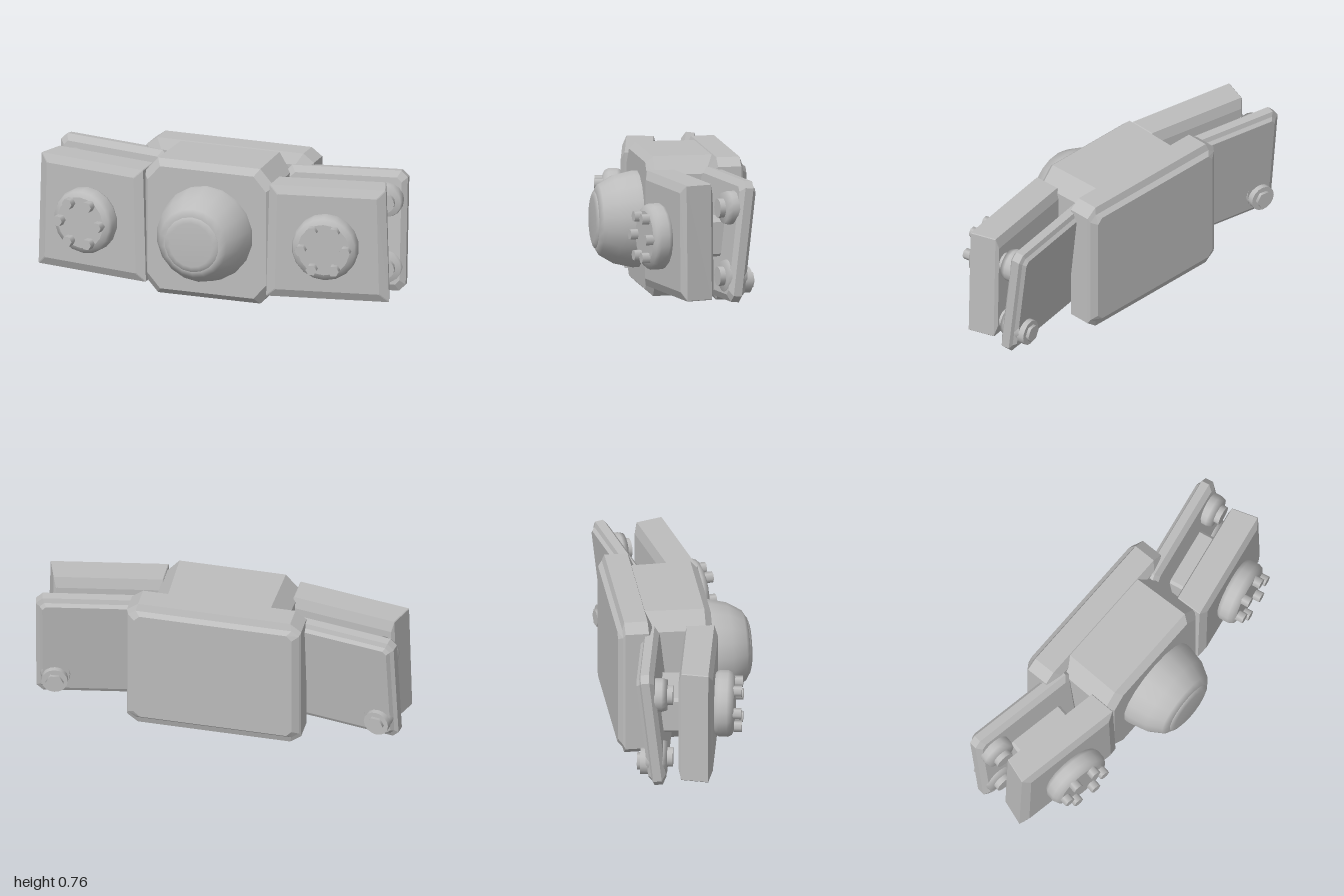
import * as THREE from 'three';

const steel = new THREE.MeshStandardMaterial({ color: 0xbcbcbc });
steel.name = 'grey steel';
const flatSteel = steel;

// Chamfered block: octagonal loops [z, halfWidth, halfHeight, chamferX, chamferY] from back to front
function block(name, sections, taper = 0) {
  const loops = sections.map(([z, w, h, cx, cy]) =>
    [[w, -h + cy], [w, h - cy], [w - cx, h], [cx - w, h], [-w, h - cy], [-w, cy - h], [cx - w, -h], [w - cx, -h]]
      .map(([x, y]) => [x * (1 - taper * y), y, z]));
  const pos = [];
  const tri = (a, b, c) => pos.push(...a, ...b, ...c);
  for (let i = 0; i < loops.length - 1; i++) {
    for (let j = 0; j < 8; j++) {
      const k = (j + 1) % 8, a = loops[i], b = loops[i + 1];
      tri(a[j], a[k], b[k]);
      tri(a[j], b[k], b[j]);
    }
  }
  const back = loops[0], front = loops[loops.length - 1];
  for (let j = 1; j < 7; j++) {
    tri(front[0], front[j], front[j + 1]);
    tri(back[0], back[j + 1], back[j]);
  }
  const g = new THREE.BufferGeometry();
  g.setAttribute('position', new THREE.Float32BufferAttribute(pos, 3));
  g.computeVertexNormals();
  return part(name, g);
}

function part(name, geometry) {
  const m = new THREE.Mesh(geometry, flatSteel);
  m.name = name;
  return m;
}

// Turned shape along +z from [radius, z] points
function turned(name, points, sides) {
  const g = new THREE.LatheGeometry(points.map(([r, z]) => new THREE.Vector2(r, z)), sides);
  return part(name, g.rotateX(Math.PI / 2));
}

// Straight cylinder or hex prism along z
function rod(name, r, z0, z1, sides) {
  const g = new THREE.CylinderGeometry(r, r, z1 - z0, sides);
  g.rotateX(Math.PI / 2).rotateZ(sides === 6 ? Math.PI / 2 : 0).translate(0, 0, (z0 + z1) / 2);
  return part(name, g);
}

const YAW = 0.18, MID = 0.385;

function wing(s) {
  const wing = new THREE.Group();
  wing.name = s > 0 ? 'leftWing' : 'rightWing';

  // Front pad with bevelled face, disc and six bolts
  const pad = new THREE.Group();
  pad.name = 'frontPad';
  pad.position.set(s * 0.655, MID, 0.02);
  pad.rotation.y = s * YAW;
  pad.add(block('padBody', [
    [-0.09, 0.285, 0.25, 0.004, 0.004],
    [-0.075, 0.3, 0.31, 0.004, 0.004],
    [0.07, 0.323, 0.31, 0.004, 0.004],
    [0.092, 0.275, 0.265, 0.004, 0.004],
  ], 0.09));
  pad.add(turned('disc', [[0.155, 0.085], [0.172, 0.1], [0.178, 0.115], [0.178, 0.16], [0.168, 0.182], [0.14, 0.195]], 18));
  pad.add(rod('discFace', 0.14, 0.15, 0.195, 18));
  for (let i = 0; i < 6; i++) {
    const a = i * Math.PI / 3;
    const bolt = rod('discBolt', 0.03, 0.18, 0.236, 6);
    bolt.position.set(0.12 * Math.cos(a), 0.12 * Math.sin(a), 0);
    pad.add(bolt);
  }
  // Spacer between pad and rear panel
  const spacer = block('spacer', [
    [-0.25, 0.17, 0.1, 0.015, 0.015],
    [-0.08, 0.17, 0.1, 0.015, 0.015],
  ]);
  pad.add(spacer);
  wing.add(pad);

  // Rear panel leaning backwards
  const rear = new THREE.Group();
  rear.name = 'rearPanelGroup';
  rear.position.set(s * 0.66, MID, -0.217);
  rear.rotation.y = s * YAW;
  const panel = block('rearPanel', [
    [-0.047, 0.295, 0.285, 0.02, 0.02],
    [-0.03, 0.31, 0.3, 0.025, 0.025],
    [-0.02, 0.33, 0.325, 0.035, 0.035],
    [0.025, 0.33, 0.325, 0.035, 0.035],
    [0.047, 0.3, 0.29, 0.025, 0.025],
  ]);
  panel.rotation.x = -0.115;
  rear.add(panel);

  // Two studs facing forward, one bolt on the back
  for (const y of [0.175, -0.19]) {
    const stud = new THREE.Group();
    stud.name = 'stud';
    stud.add(turned('studCollar', [[0.075, -0.03], [0.09, 0], [0.09, 0.055], [0.082, 0.083], [0, 0.083]], 16));
    stud.add(rod('studHead', 0.052, 0.07, 0.113, 16));
    stud.position.set(s * 0.225, y, 0);
    rear.add(stud);
  }
  const backBolt = new THREE.Group();
  backBolt.name = 'backBolt';
  backBolt.add(rod('backWasher', 0.07, -0.06, 0.02, 16), rod('backBoltHead', 0.047, -0.078, 0, 6));
  backBolt.position.set(s * 0.23, -0.215, 0.0);
  rear.add(backBolt);
  wing.add(rear);
  return wing;
}

export function createModel() {
  const model = new THREE.Group();
  model.name = 'clampAssembly';

  // Central block
  const core = block('centralBlock', [
    [-0.22, 0.36, 0.375, 0.08, 0.09],
    [0.1, 0.37, 0.375, 0.08, 0.09],
    [0.138, 0.335, 0.34, 0.07, 0.08],
  ]);
  core.position.y = MID;

  // Broad back plate
  const plate = block('backPlate', [
    [-0.38, 0.43, 0.325, 0.03, 0.03],
    [-0.357, 0.465, 0.345, 0.04, 0.03],
    [-0.345, 0.475, 0.3825, 0.06, 0.045],
    [-0.22, 0.475, 0.3825, 0.06, 0.045],
    [-0.19, 0.42, 0.325, 0.04, 0.03],
  ]);
  plate.position.y = 0.3825;

  // Front dome with a capped, stepped nose
  const dome = turned('dome', [[0.26, 0.13], [0.26, 0.165], [0.237, 0.265], [0.19, 0.345], [0.155, 0.366], [0, 0.366]], 18);
  const cap = turned('domeCap', [[0.152, 0.36], [0.152, 0.37], [0.122, 0.38], [0, 0.38]], 18);
  dome.position.y = cap.position.y = MID;

  model.add(core, plate, dome, cap, wing(1), wing(-1));
  // Crisp edges on blocks and rods come from their split normals
  return model;
}
